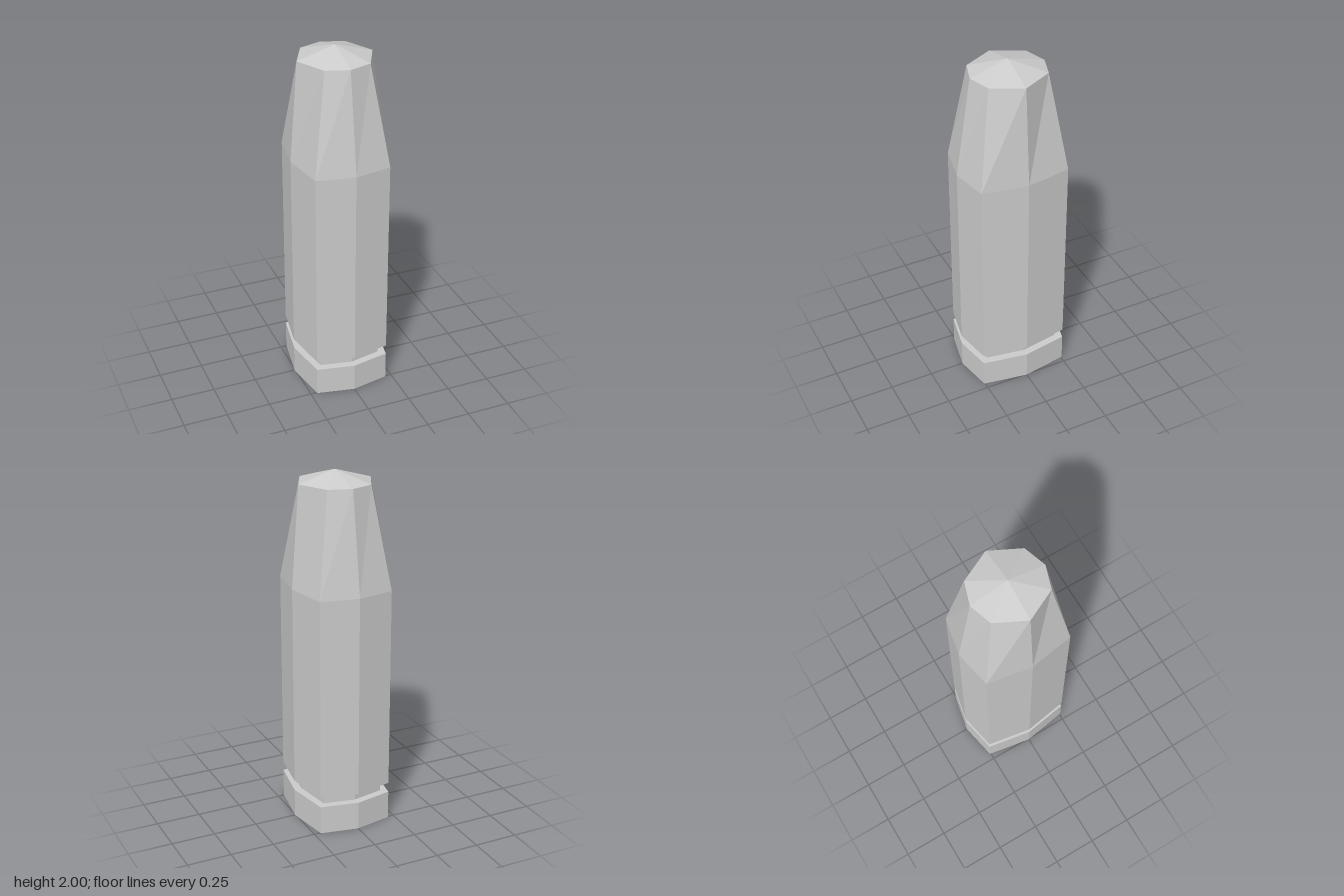
import * as THREE from 'three';

// Eight-sided ring at height y: half width, half depth and the corner point between them
function ring(y, halfX, halfZ, cornerX, cornerZ) {
  return [
    [0, halfZ], [cornerX, cornerZ], [halfX, 0], [cornerX, -cornerZ],
    [0, -halfZ], [-cornerX, -cornerZ], [-halfX, 0], [-cornerX, cornerZ],
  ].map(([x, z]) => new THREE.Vector3(x, y, z));
}

const outer = (y) => ring(y, 0.256, 0.299, 0.213, 0.256);
const inner = (y) => ring(y, 0.213, 0.256, 0.177, 0.22);
const nose = (y) => ring(y, 0.213, 0.213, 0.128, 0.171);
const point = (y) => ring(y, 0, 0, 0, 0);

// Skin consecutive rings with faceted faces, skipping collapsed triangles
function loft(rings) {
  const positions = [];
  const face = (a, b, c) => {
    if (a.equals(b) || b.equals(c) || c.equals(a)) return;
    for (const p of [a, b, c]) positions.push(p.x, p.y, p.z);
  };
  for (let r = 0; r < rings.length - 1; r++) {
    const low = rings[r];
    const high = rings[r + 1];
    for (let i = 0; i < low.length; i++) {
      const j = (i + 1) % low.length;
      face(low[i], low[j], high[j]);
      face(low[i], high[j], high[i]);
    }
  }
  const geometry = new THREE.BufferGeometry();
  geometry.setAttribute('position', new THREE.Float32BufferAttribute(positions, 3));
  geometry.computeVertexNormals();
  return geometry;
}

export function createModel() {
  const group = new THREE.Group();
  group.name = 'cartridge';
  const grey = new THREE.MeshStandardMaterial({ color: 0xcccccc });
  grey.name = 'grey';
  grey.flatShading = true;

  const add = (name, rings) => {
    const mesh = new THREE.Mesh(loft(rings), grey);
    mesh.name = name;
    group.add(mesh);
  };

  // Flat-bottomed rim with a ledge running in to the groove
  add('rim', [point(0), outer(0), outer(0.163), inner(0.163)]);
  // Recessed band above the rim
  add('groove', [inner(0.163), inner(0.219)]);
  // Straight casing with its underside ledge
  add('casing', [inner(0.219), outer(0.219), outer(1.368)]);
  // Tapered bullet with a shallow pointed cap
  add('bullet', [outer(1.368), nose(1.938)]);
  add('bulletTip', [nose(1.938), point(2)]);

  return group;
}
